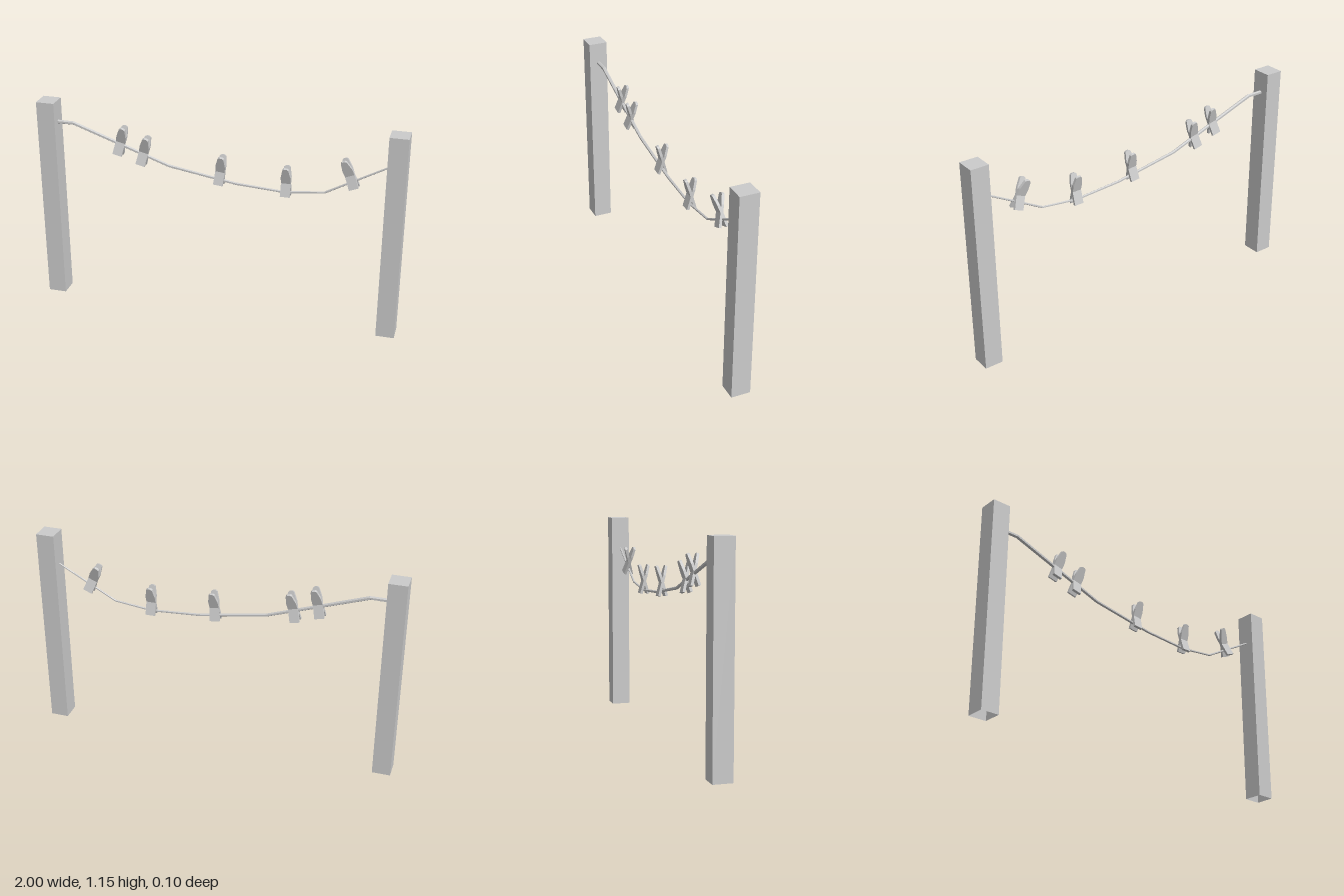
import * as THREE from 'three';

const material = new THREE.MeshStandardMaterial({ color: 0xcccccc, flatShading: true, side: THREE.DoubleSide });

function part(geometry, name) {
  const mesh = new THREE.Mesh(geometry, material);
  mesh.name = name;
  return mesh;
}

// Square post, open underneath
function createPost(x, name) {
  const geometry = new THREE.BoxGeometry(0.1, 1.155, 0.105);
  const index = Array.from(geometry.index.array);
  index.splice(18, 6); // bottom face
  geometry.setIndex(index);
  geometry.clearGroups();
  const post = part(geometry, name);
  post.position.set(x, 1.155 / 2, 0);
  return post;
}

// Sagging rope: a ring at each bend, thinning from one end to the other
function createRope() {
  const points = [[-0.91, 1.035], [-0.81, 1.035], [-0.27, 0.845], [0.1, 0.785],
    [0.37, 0.768], [0.58, 0.793], [0.91, 0.975]].map(([x, y]) => new THREE.Vector2(x, y));
  const sides = 6;
  const positions = [];
  const indices = [];
  points.forEach((p, i) => {
    const before = points[Math.max(i - 1, 0)];
    const after = points[Math.min(i + 1, points.length - 1)];
    const tangent = after.clone().sub(before).normalize();
    const radius = THREE.MathUtils.mapLinear(p.x, -0.91, 0.91, 0.011, 0.005);
    for (let s = 0; s < sides; s++) {
      const a = (s / sides) * Math.PI * 2;
      const up = Math.cos(a) * radius;
      positions.push(p.x - tangent.y * up, p.y + tangent.x * up, Math.sin(a) * radius);
      if (i < points.length - 1) {
        const a0 = i * sides + s;
        const a1 = i * sides + ((s + 1) % sides);
        indices.push(a0, a1, a0 + sides, a1, a1 + sides, a0 + sides);
      }
    }
  });
  const geometry = new THREE.BufferGeometry();
  geometry.setAttribute('position', new THREE.Float32BufferAttribute(positions, 3));
  geometry.setIndex(indices);
  geometry.computeVertexNormals();
  return part(geometry, 'rope');
}

// Clothes peg: two tapered slats crossing at a pivot
function createPeg(x, y, lean) {
  const pivot = 0.075;
  const thickness = 0.014;
  const outline = new THREE.Shape([[-0.026, 0], [0.026, 0], [0.026, 0.115], [0.016, 0.164],
    [0.008, 0.17], [-0.008, 0.17], [-0.016, 0.164], [-0.026, 0.115]]
    .map(([px, py]) => new THREE.Vector2(px, py - pivot)));
  const slat = new THREE.ExtrudeGeometry(outline, { depth: thickness, bevelEnabled: false });
  slat.translate(0, 0, -thickness / 2);

  const peg = new THREE.Group();
  peg.name = 'clothesPeg';
  for (const side of [1, -1]) {
    const mesh = part(slat, side > 0 ? 'frontSlat' : 'backSlat');
    mesh.rotation.x = side * 0.28;
    mesh.position.y = pivot;
    peg.add(mesh);
  }
  peg.position.set(x, y, 0);
  peg.rotation.z = -THREE.MathUtils.degToRad(lean);
  return peg;
}

export function createModel() {
  const model = new THREE.Group();
  model.name = 'clothesline';
  model.add(createPost(-0.95, 'rightPost'), createPost(0.95, 'leftPost'), createRope());

  // Pegs: base x, base y, lean in degrees
  const pegs = [[-0.56, 0.88, 13], [-0.43, 0.835, 13], [0.006, 0.77, 6], [0.372, 0.746, 0], [0.735, 0.834, -22]];
  for (const [x, y, lean] of pegs) model.add(createPeg(x, y, lean));
  return model;
}
